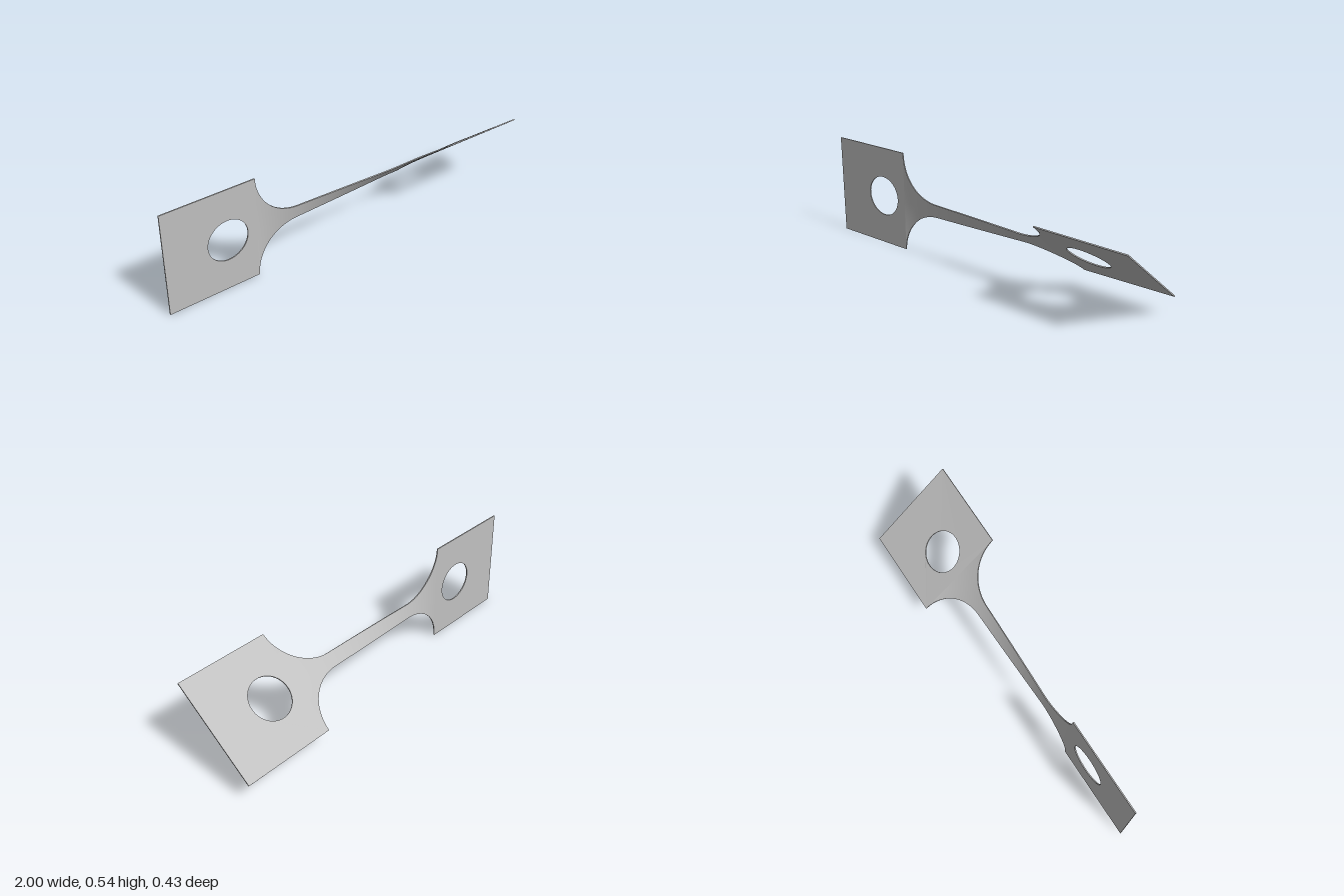
import * as THREE from 'three';

const HALF = 0.271;      // half width of the end plates
const NECK = 0.0375;     // half width of the narrow neck
const SHOULDER = 0.51;   // where the plates end and the fillets begin
const THICK = 0.006;

// Twist angle along the strip: nearly still in the plates, linear in between
function twistAt(x) {
  const d = Math.PI / 180;
  if (x < -SHOULDER) return 0.6 * d;
  if (x > SHOULDER) return (51 + 1.2 * Math.min(1, (x - SHOULDER) / 0.25)) * d;
  return (0.6 + 50.4 * (x + SHOULDER) / (2 * SHOULDER)) * d;
}

// Rotate every vertex about the long axis by the twist at its x
function twist(geometry) {
  const p = geometry.attributes.position;
  for (let i = 0; i < p.count; i++) {
    const a = twistAt(p.getX(i)), y = p.getY(i), z = p.getZ(i);
    p.setY(i, y * Math.cos(a) - z * Math.sin(a));
    p.setZ(i, y * Math.sin(a) + z * Math.cos(a));
  }
  geometry.computeVertexNormals();
  return geometry;
}

// Half width of the middle section: round fillets running into the neck
function halfWidth(x) {
  const r = HALF - NECK;
  const t = Math.max(0, Math.abs(x) - (SHOULDER - r));
  return NECK + r - Math.sqrt(Math.max(0, r * r - t * t));
}

// Square-cornered end plate with a round hole
function plateGeometry(side) {
  const a = side * SHOULDER, b = side;
  const x0 = Math.min(a, b), x1 = Math.max(a, b);
  const shape = new THREE.Shape([
    new THREE.Vector2(x0, -HALF), new THREE.Vector2(x1, -HALF),
    new THREE.Vector2(x1, HALF), new THREE.Vector2(x0, HALF),
  ]);
  const hole = new THREE.Path();
  hole.absarc(side * 0.67, 0, 0.108, 0, Math.PI * 2, true);
  shape.holes.push(hole);
  const g = new THREE.ExtrudeGeometry(shape, { depth: THICK, bevelEnabled: false, curveSegments: 32 });
  g.translate(0, 0, -THICK / 2);
  return twist(g);
}

// Middle section, with columns packed closer towards the shoulders
function neckGeometry() {
  const g = new THREE.BoxGeometry(2, 2, THICK, 96, 4, 1);
  const p = g.attributes.position;
  for (let i = 0; i < p.count; i++) {
    const x = SHOULDER * Math.sin(p.getX(i) * Math.PI / 2);
    p.setX(i, x);
    p.setY(i, p.getY(i) * halfWidth(x));
  }
  return twist(g);
}

export function createModel() {
  const group = new THREE.Group();
  group.name = 'twistedStrip';
  const metal = new THREE.MeshStandardMaterial({ color: 0xc0c0c0 });
  metal.name = 'light grey metal';

  const add = (name, geometry) => {
    const mesh = new THREE.Mesh(geometry, metal);
    mesh.name = name;
    mesh.position.y = HALF;
    group.add(mesh);
  };
  add('rightPlate', plateGeometry(-1));
  add('twistedNeck', neckGeometry());
  add('leftPlate', plateGeometry(1));
  return group;
}
